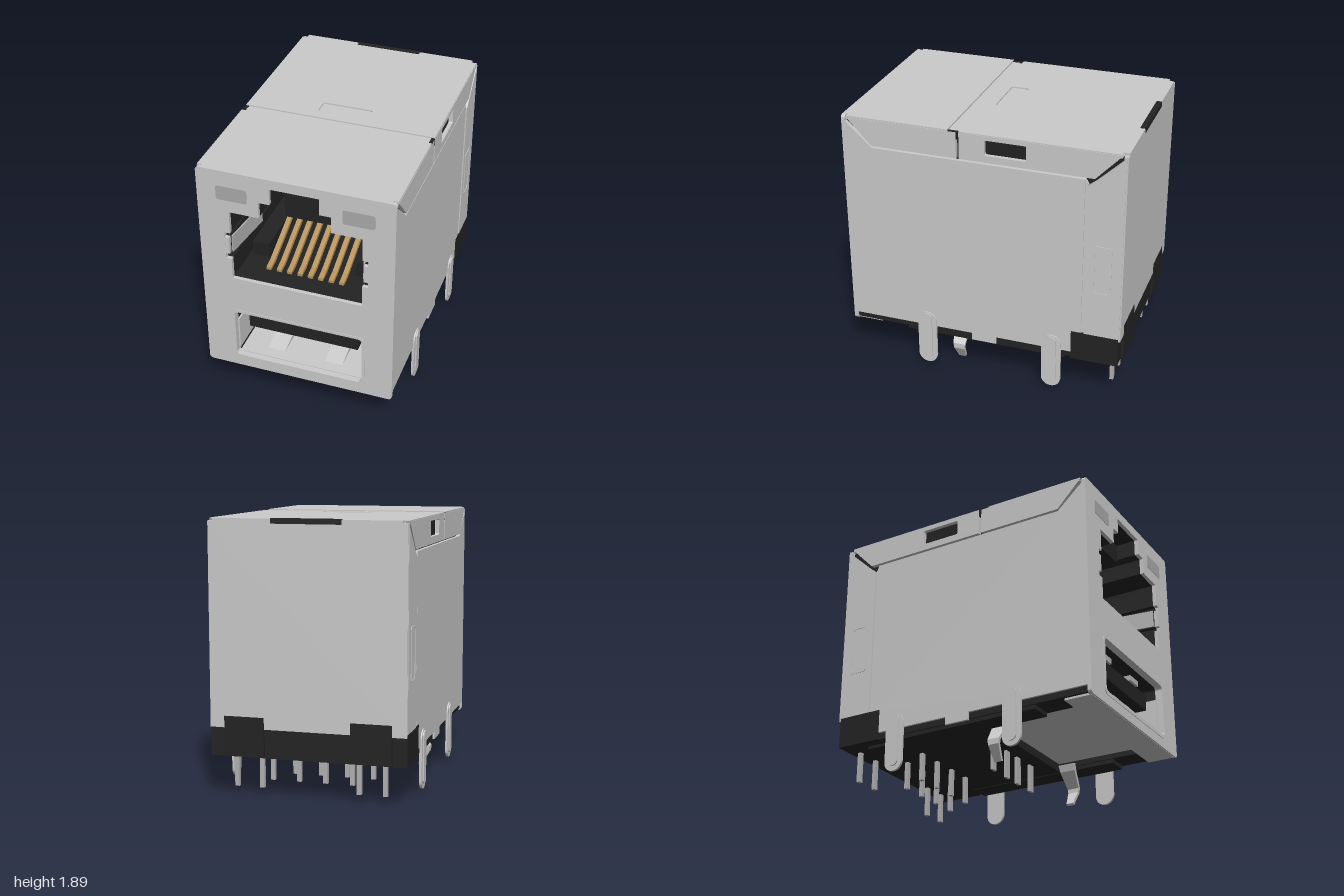
import * as THREE from 'three';

const mat = (name, color) => {
  const m = new THREE.MeshStandardMaterial({ color });
  m.name = name;
  return m;
};

export function createModel() {
  const model = new THREE.Group();
  model.name = 'stackedPortConnector';
  const shield = mat('shield metal', 0xcbcbcb);
  const plastic = mat('black plastic', 0x232323);
  const gold = mat('gold contact', 0xb8935a);
  const tin = mat('tin pin', 0xb2b2b2);
  const lens = mat('indicator lens', 0xababab);

  const add = (name, geo, material) => {
    const m = new THREE.Mesh(geo, material);
    m.name = name;
    model.add(m);
    return m;
  };
  // box given by its limits on each axis
  const box = (name, material, x0, x1, y0, y1, z0, z1) => {
    const g = new THREE.BoxGeometry(x1 - x0, y1 - y0, z1 - z0);
    g.translate((x0 + x1) / 2, (y0 + y1) / 2, (z0 + z1) / 2);
    return add(name, g, material);
  };
  const poly = (pts) => new THREE.Shape(pts.map(([x, y]) => new THREE.Vector2(x, y)));
  const rounded = (x0, x1, y0, y1, r) => {
    const s = new THREE.Shape();
    s.absarc(x1 - r, y1 - r, r, 0, Math.PI / 2);
    s.absarc(x0 + r, y1 - r, r, Math.PI / 2, Math.PI);
    s.absarc(x0 + r, y0 + r, r, Math.PI, Math.PI * 1.5);
    s.absarc(x1 - r, y0 + r, r, Math.PI * 1.5, Math.PI * 2);
    return s;
  };
  const extrude = (shape, depth, holes = []) => {
    shape.holes.push(...holes);
    return new THREE.ExtrudeGeometry(shape, { depth, bevelEnabled: false, curveSegments: 6 });
  };
  const frontPlate = (name, material, shape, z0, z1, holes) =>
    add(name, extrude(shape, z1 - z0, holes).translate(0, 0, z0), material);
  // outline drawn in (z, y), repeated on both sides of the model
  const sidePlates = (name, material, makeShape, x0, x1, makeHoles = () => []) => {
    for (const s of [1, -1]) {
      const g = extrude(makeShape(), x1 - x0, makeHoles()).rotateY(-Math.PI / 2);
      add(name, g.translate(s > 0 ? x1 : -x0, 0, 0), material);
    }
  };
  // outline drawn in (x, z)
  const topPlate = (name, material, shape, y0, y1, holes) =>
    add(name, extrude(shape, y1 - y0, holes).rotateX(Math.PI / 2).translate(0, y1, 0), material);

  // socket outlines
  const half = [[0.46, 1.04], [0.46, 1.2], [0.5, 1.2], [0.5, 1.24], [0.47, 1.24], [0.47, 1.37], [0.5, 1.37],
    [0.5, 1.41], [0.46, 1.41], [0.46, 1.58], [0.25, 1.58], [0.25, 1.7], [0.17, 1.7], [0.17, 1.82]];
  const jack = () => poly([...half, ...half.map(([x, y]) => [-x, y]).reverse()]);
  const port = () => rounded(-0.47, 0.47, 0.35, 0.755, 0.03);

  // black housing with two cavities
  frontPlate('housingFront', plastic, poly([[-0.653, 0.33], [0.653, 0.33], [0.653, 1.86], [-0.653, 1.86]]),
    0.05, 0.972, [jack(), port()]);
  box('housingRear', plastic, -0.653, 0.653, 0.3, 1.86, -0.972, 0.05);
  box('housingBottom', plastic, -0.6, 0.6, 0.26, 0.33, -0.79, 0.15);
  box('rearBase', plastic, -0.682, 0.682, 0.28, 0.5, -0.985, -0.65);

  // front shield
  frontPlate('frontShield', shield, rounded(-0.68, 0.68, 0.27, 1.89, 0.025), 0.972, 1, [jack(), port()]);
  frontPlate('portLip', shield, rounded(-0.482, 0.482, 0.338, 0.768, 0.04), 0.95, 1.004,
    [rounded(-0.462, 0.462, 0.365, 0.748, 0.03)]);
  box('frontBottomFlange', shield, -0.65, 0.65, 0.268, 0.283, 0.79, 0.99);

  // side walls, the folded flaps of the lid and the wrapped rear flanges
  sidePlates('sideWall', shield, () => poly([[0.99, 0.33], [0.99, 1.865], [0.785, 1.675], [-0.72, 1.675],
    [-0.72, 0.5], [-0.65, 0.5], [-0.65, 0.33]]), 0.653, 0.68);
  sidePlates('frontFlap', shield, () => poly([[0.965, 1.88], [0.785, 1.69], [0.17, 1.69], [0.17, 1.88]]), 0.653, 0.683);
  sidePlates('rearFlap', shield, () => poly([[0.15, 1.88], [0.15, 1.69], [-0.785, 1.69], [-0.965, 1.88]]), 0.653, 0.683,
    () => [rounded(-0.32, -0.03, 1.74, 1.85, 0.012)]);
  sidePlates('rearFlange', shield, () => poly([[-0.99, 0.5], [-0.74, 0.5], [-0.74, 1.63], [-0.79, 1.67], [-0.99, 1.86]]),
    0.653, 0.684);
  sidePlates('flangeSeam', shield, () => poly([[-0.74, 0.5], [-0.72, 0.5], [-0.72, 1.675], [-0.74, 1.64]]), 0.653, 0.672);
  sidePlates('flangeDimple', shield, () => rounded(-0.92, -0.79, 0.83, 1.2, 0.02), 0.68, 0.688,
    () => [rounded(-0.908, -0.802, 0.845, 1.185, 0.015)]);

  // lid in two halves with a shallow groove between them
  const e = 0.68, c = 0.645;
  topPlate('lidFront', shield, poly([[-e, 0.23], [e, 0.23], [e, 0.96], [c, 0.96], [c, 1], [-c, 1], [-c, 0.96], [-e, 0.96]]),
    1.865, 1.89);
  topPlate('lidRear', shield, poly([[-e, 0.15], [e, 0.15], [e, -0.96], [c, -0.96], [c, -1], [-c, -1], [-c, -0.96], [-e, -0.96]]),
    1.86, 1.887, [rounded(-0.18, 0.18, -0.055, 0.07, 0.02)]);
  box('lidGroove', shield, -0.655, 0.655, 1.855, 1.878, 0.15, 0.23);
  box('lidDimple', shield, -0.18, 0.18, 1.861, 1.877, -0.055, 0.07);
  for (const s of [1, -1]) {
    const x = s * 0.67;
    box('grooveEnd', plastic, x - 0.012, x + 0.012, 1.83, 1.882, 0.152, 0.23);
  }

  // rear shield with two housing tabs and a slot at the top
  frontPlate('rearShield', shield, poly([[-0.68, 0.48], [0.68, 0.48], [0.68, 1.87], [-0.68, 1.87]]), -1, -0.972);
  box('rearTopSlot', plastic, -0.24, 0.24, 1.855, 1.891, -1.003, -0.965);
  for (const s of [1, -1]) {
    const x = s * 0.44;
    box('rearTab', plastic, x - 0.14, x + 0.14, 0.29, 0.56, -1.004, -0.96);
  }

  // parts of the upper socket
  for (let i = 0; i < 8; i++) {
    const x = -0.2625 + i * 0.075;
    const g = extrude(poly([[0.84, 1.045], [0.84, 1.065], [0.76, 1.085], [0.25, 1.3], [0.25, 1.27], [0.76, 1.055]]), 0.034);
    add('jackContact', g.rotateY(-Math.PI / 2).translate(x + 0.017, 0, 0), gold);
  }
  box('latchBlock', plastic, -0.23, 0.23, 1.34, 1.65, 0.06, 0.6);
  box('latchStop', plastic, -0.13, 0.13, 1.64, 1.79, 0.06, 0.85);
  for (const s of [1, -1]) {
    const spring = box('jackSideSpring', tin, -0.005, 0.005, 1.24, 1.37, -0.2, 0.2);
    spring.position.set(s * 0.438, 0, 0.77);
    spring.rotation.y = s * 0.12;
    const x = s * 0.435;
    frontPlate('indicatorWindow', lens, rounded(x - 0.108, x + 0.108, 1.67, 1.775, 0.015), 0.996, 1.003);
    box('jackFloorStep', plastic, s * 0.375 - 0.06, s * 0.375 + 0.06, 1.04, 1.15, 0.06, 0.7);
  }

  // parts of the lower port
  box('portFloor', shield, -0.455, 0.455, 0.352, 0.37, 0.2, 0.96);
  box('portUnderside', shield, -0.46, 0.46, 0.312, 0.329, 0.16, 0.97);
  box('portTongue', plastic, -0.4, 0.4, 0.56, 0.68, 0.06, 0.9);
  box('portBackStep', plastic, -0.44, 0.44, 0.4, 0.56, 0.05, 0.2);
  for (const x of [-0.26, -0.075, 0.075, 0.26]) {
    box('portContact', gold, x - 0.04, x + 0.04, 0.505, 0.562, 0.2, 0.82);
    box('portContactRoot', shield, x - 0.04, x + 0.04, 0.46, 0.505, 0.19, 0.24);
    box('portPin', tin, x - 0.026, x + 0.026, 0.06, 0.28, 0.02, 0.04);
  }
  for (const s of [1, -1]) {
    const x = s * 0.215;
    const tab = extrude(poly([[0.9, 0.365], [0.65, 0.42], [0.58, 0.42], [0.42, 0.365]]), 0.13).rotateY(-Math.PI / 2);
    add('portLowerSpring', tab.translate(x + 0.065, 0, 0), shield);
    box('portUpperSpring', tin, x - 0.065, x + 0.065, 0.7, 0.74, 0.5, 0.9);
    box('portSideLiner', shield, s * 0.457 - 0.006, s * 0.457 + 0.006, 0.4, 0.65, 0.4, 0.96);
  }

  // underside skirts and locating clips
  for (const s of [1, -1]) {
    const x = s * 0.575;
    box('sideSkirt', plastic, x - 0.09, x + 0.09, 0.285, 0.33, -0.65, 0.985);
    box('skirtFoot', plastic, x - 0.08, x + 0.08, 0.256, 0.29, -0.6, 0.58);
    box('sideNotch', shield, s * 0.672 - 0.008, s * 0.672 + 0.008, 0.275, 0.335, -0.1, 0.08);
    // spring clip, narrowing towards the tip
    const clip = extrude(poly([[0.46, 0.3], [0.475, 0.25], [0.56, 0.14], [0.56, 0.11], [0.5, 0.01], [0.52, 0],
      [0.583, 0.105], [0.583, 0.145], [0.5, 0.26], [0.485, 0.3]].map(([a, b]) => [a * s, b])), 0.13).translate(0, 0, -0.065);
    const p = clip.attributes.position;
    for (let i = 0; i < p.count; i++) p.setZ(i, p.getZ(i) * (0.4 + 2 * p.getY(i)));
    clip.computeVertexNormals();
    add('boardClip', clip.translate(0, 0, 0.22), shield);
  }

  // shield legs with a pressed rib
  for (const z of [0.42, -0.51]) {
    sidePlates('shieldLeg', shield, () => rounded(z - 0.07, z + 0.07, 0.02, 0.44, 0.068), 0.672, 0.69);
    sidePlates('legRib', shield, () => rounded(z - 0.038, z + 0.038, 0.055, 0.43, 0.036), 0.685, 0.699);
  }

  // solder pins
  const pin = (x, z) => box('solderPin', tin, x - 0.016, x + 0.016, 0.06, 0.29, z - 0.014, z + 0.014);
  for (const x of [-0.335, -0.145, 0.045, 0.235]) {
    pin(x, -0.51);
    pin(-x, -0.705);
  }
  for (const x of [-0.52, -0.34, 0.34, 0.52]) pin(x, -0.915);

  return model;
}
